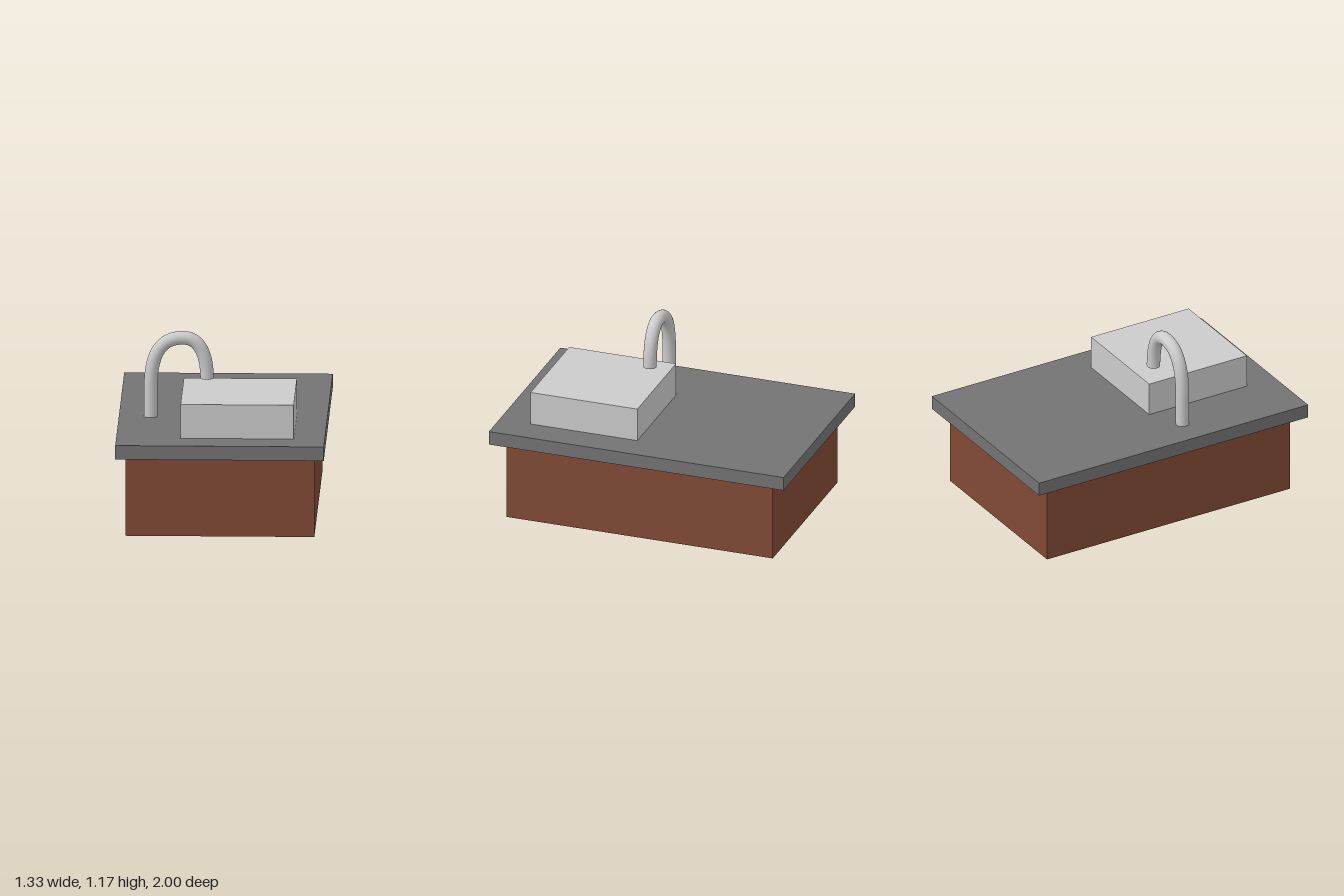
import * as THREE from 'three';

const mat = (color) => new THREE.MeshStandardMaterial({ color });

// Box given by its min and max on each axis
function block(name, [x0, x1], [y0, y1], [z0, z1], material) {
  const mesh = new THREE.Mesh(new THREE.BoxGeometry(x1 - x0, y1 - y0, z1 - z0), material);
  mesh.position.set((x0 + x1) / 2, (y0 + y1) / 2, (z0 + z1) / 2);
  mesh.name = name;
  return mesh;
}

export function createModel() {
  const group = new THREE.Group();
  group.name = 'sinkIsland';
  const wood = mat(0x824a36), stone = mat(0x737373), metal = mat(0xcccccc);

  // Cabinet: wooden sides, dark top and underside (+x, -x, +y, -y, +z, -z)
  group.add(block('cabinet', [-0.602, 0.602], [0, 0.52], [-0.903, 0.903],
    [wood, wood, stone, stone, wood, wood]));
  group.add(block('countertop', [-0.665, 0.665], [0.523, 0.614], [-1, 1], stone));
  group.add(block('basin', [-0.254, 0.467], [0.52, 0.836], [0.065, 0.79], metal));

  // Faucet: straight riser, then an arch of two curves ending above the basin
  const z = 0.187;
  const v = (x, y) => new THREE.Vector3(x, y, z);
  const path = new THREE.CurvePath();
  path.add(new THREE.LineCurve3(v(-0.462, 0.522), v(-0.462, 0.8)));
  path.add(new THREE.CubicBezierCurve3(v(-0.462, 0.8), v(-0.462, 1.02), v(-0.4, 1.128), v(-0.255, 1.129)));
  path.add(new THREE.CubicBezierCurve3(v(-0.255, 1.129), v(-0.145, 1.129), v(-0.103, 1.01), v(-0.103, 0.865)));
  const pipe = mat(0xcccccc);
  pipe.side = THREE.DoubleSide;
  const faucet = new THREE.Mesh(new THREE.TubeGeometry(path, 64, 0.043, 24), pipe);
  faucet.name = 'faucet';
  group.add(faucet);

  return group;
}
